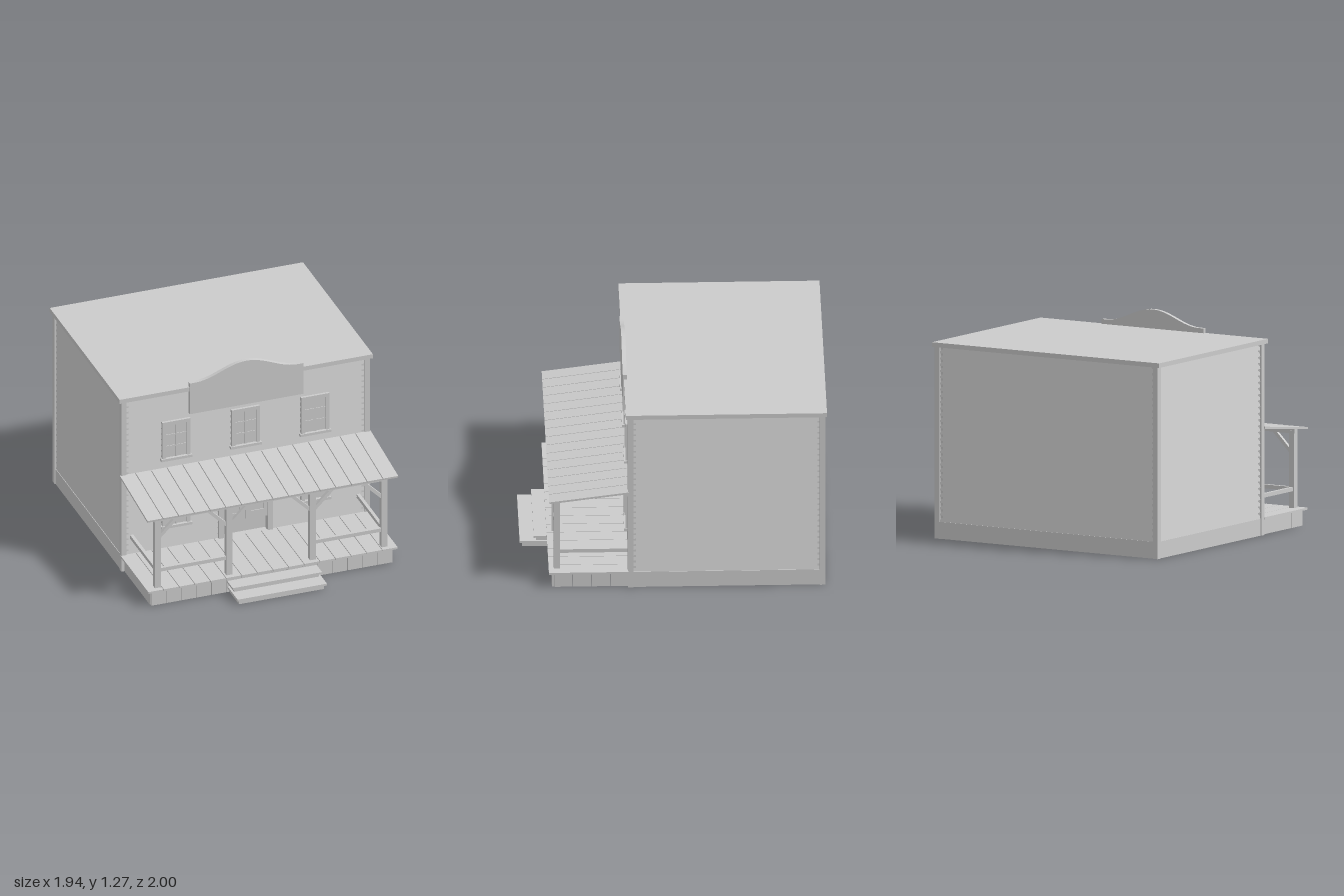
import * as THREE from 'three';

const mat = new THREE.MeshStandardMaterial({ color: 0xcccccc, flatShading: true, side: THREE.DoubleSide });

export function createModel() {
  const model = new THREE.Group();
  const house = new THREE.Group();
  house.name = 'house';
  house.rotation.y = 0.27; // the whole building stands turned on its plot
  model.add(house);

  const add = (name, geo, parent = house) => {
    const m = new THREE.Mesh(geo, mat);
    m.name = name;
    parent.add(m);
    return m;
  };
  // box given by its min / max on each axis
  const box = (name, x0, x1, y0, y1, z0, z1, parent = house) => {
    const m = add(name, new THREE.BoxGeometry(x1 - x0, y1 - y0, z1 - z0), parent);
    m.position.set((x0 + x1) / 2, (y0 + y1) / 2, (z0 + z1) / 2);
    return m;
  };
  const group = (name, x = 0, y = 0, z = 0) => {
    const g = new THREE.Group();
    g.name = name;
    g.position.set(x, y, z);
    house.add(g);
    return g;
  };

  // Lapped siding: saw-tooth section extruded along the wall, facing +z before turning
  const ROW = 0.0368, BASE = 0.1;
  const siding = (name, width, row0, row1, x, z, turn) => {
    const s = new THREE.Shape();
    s.moveTo(-0.03, BASE + row0 * ROW);
    for (let i = row0; i < row1; i++) {
      s.lineTo(0.01, BASE + i * ROW);
      s.lineTo(0.002, BASE + (i + 1) * ROW);
    }
    s.lineTo(-0.03, BASE + row1 * ROW);
    const g = new THREE.ExtrudeGeometry(s, { depth: width, bevelEnabled: false });
    g.translate(0, 0, -width / 2);
    const m = add(name, g);
    m.rotation.y = turn - Math.PI / 2;
    m.position.set(x, 0, z);
  };

  // Body, base and roof
  box('wallCore', -0.745, 0.745, 0.02, 1.13, -0.785, 0.297);
  box('foundation', -0.768, 0.768, 0, 0.1, -0.808, 0.338);
  box('roof', -0.788, 0.788, 1.13, 1.157, -0.82, 0.354);
  const ROWS = 28, DOOR = 11;
  for (const s of [-1, 1]) {
    siding('sideSiding', 1.13, 0, ROWS, s * 0.755, -0.235, s * Math.PI / 2);
    siding('frontSidingBesideDoor', 0.62, 0, DOOR, s * 0.45, 0.325, 0);
    for (const [z0, z1] of [[-0.812, -0.778], [0.308, 0.342]])
      box('cornerBoard', s * 0.757 - 0.016, s * 0.757 + 0.016, 0, 1.13, z0, z1);
  }
  siding('frontSidingAboveDoor', 1.52, DOOR, ROWS, 0, 0.325, 0);
  siding('backSiding', 1.52, 0, ROWS, 0, -0.795, Math.PI);

  // Blank false-front board with a bell-shaped top
  const board = new THREE.Shape();
  board.moveTo(-0.353, 0.98);
  board.lineTo(0.353, 0.98);
  for (let i = 0; i <= 32; i++) {
    const x = 0.353 - (0.706 * i) / 32;
    const t = Math.min(1, Math.abs(x) / 0.32);
    board.lineTo(x, 1.185 + 0.0425 * (1 + Math.cos(Math.PI * t)));
  }
  add('parapetBoard', new THREE.ExtrudeGeometry(board, { depth: 0.024, bevelEnabled: false })).position.z = 0.336;

  // Windows: pane, frame, sill and glazing bars
  const window = (x, y) => {
    const g = group('window', x, y, 0.335);
    box('pane', -0.075, 0.075, 0.01, 0.24, -0.01, 0.003, g);
    for (const s of [-1, 1]) box('windowJamb', s * 0.077 - 0.011, s * 0.077 + 0.011, 0, 0.25, -0.01, 0.014, g);
    box('windowHead', -0.088, 0.088, 0.23, 0.253, -0.01, 0.015, g);
    box('windowSill', -0.096, 0.096, -0.004, 0.012, -0.01, 0.022, g);
    box('centreBar', -0.005, 0.005, 0.01, 0.235, -0.005, 0.008, g);
    for (const y2 of [0.085, 0.16]) box('crossBar', -0.07, 0.07, y2 - 0.004, y2 + 0.004, -0.005, 0.007, g);
  };
  for (const x of [-0.432, 0, 0.432]) window(x, 0.695);
  for (const x of [-0.432, 0.432]) window(x, 0.245);

  // Doorway with a pair of swing doors
  const door = group('doorway', 0, 0, 0.335);
  for (const s of [-1, 1]) {
    box('doorJamb', s * 0.153 - 0.015, s * 0.153 + 0.015, 0.1, 0.5, -0.03, 0.014, door);
    const leaf = new THREE.Shape();
    leaf.moveTo(s * 0.136, 0.2);
    leaf.lineTo(s * 0.004, 0.2);
    leaf.lineTo(s * 0.004, 0.39);
    leaf.lineTo(s * 0.035, 0.39);
    leaf.quadraticCurveTo(s * 0.05, 0.35, s * 0.09, 0.36);
    leaf.quadraticCurveTo(s * 0.12, 0.37, s * 0.136, 0.385);
    const hole = new THREE.Path();
    hole.moveTo(s * 0.112, 0.25);
    hole.lineTo(s * 0.035, 0.25);
    hole.lineTo(s * 0.035, 0.335);
    hole.lineTo(s * 0.112, 0.345);
    leaf.holes.push(hole);
    add('swingDoor', new THREE.ExtrudeGeometry(leaf, { depth: 0.014, bevelEnabled: false }), door).position.z = -0.008;
    box('swingDoorPanel', s * 0.0735 - 0.04, s * 0.0735 + 0.04, 0.248, 0.347, -0.004, 0.001, door);
  }
  box('doorHead', -0.168, 0.168, 0.475, 0.5, -0.03, 0.014, door);

  // Porch planks: floor, skirt and sloping roof share one spacing
  const N = 16, W = 1.555 / N, GAP = 0.002;
  const slope = Math.atan(0.06 / 0.465);
  for (let i = 0; i < N; i++) {
    const x = -0.7775 + (i + 0.5) * W, h = W / 2 - GAP;
    box('floorBoard', x - h, x + h, 0.093, 0.105, 0.335, 0.803);
    const k = 0.968;
    box('skirtBoard', x * k - h * k, x * k + h * k, 0, 0.093, 0.772, 0.785);
    const r = add('porchRoofBoard', new THREE.BoxGeometry(W - 2 * GAP, 0.012, Math.hypot(0.465, 0.06)));
    r.position.set(x * 1.006, 0.604, 0.5685);
    r.rotation.x = slope;
  }
  for (const s of [-1, 1])
    for (let i = 0; i < 4; i++) {
      const z = 0.338 + i * 0.109;
      box('sideSkirtBoard', s * 0.748 - 0.006, s * 0.748 + 0.006, 0, 0.093, z, z + 0.106);
    }
  box('floorJoist', -0.74, 0.74, 0.07, 0.093, 0.55, 0.57);
  box('roofLedger', -0.76, 0.76, 0.6, 0.628, 0.325, 0.35);

  // Posts, beam, braces and rails
  const PZ = 0.755, P = 0.018;
  box('porchBeam', -0.725, 0.725, 0.545, 0.574, PZ - 0.015, PZ + 0.015);
  const brace = (x, dir) => {
    const b = add('brace', new THREE.BoxGeometry(0.02, 0.175, 0.02));
    b.position.set(x + dir * 0.068, 0.492, PZ);
    b.rotation.z = -dir * Math.PI / 4;
  };
  for (const s of [-1, 1]) {
    for (const x of [0.705, 0.26])
      box('porchPost', s * x - P, s * x + P, 0.105, 0.56, PZ - P, PZ + P);
    brace(s * 0.705, -s);
    brace(s * 0.26, s);
    brace(s * 0.26, -s);
    box('frontRail', s * 0.4825 - 0.2225, s * 0.4825 + 0.2225, 0.205, 0.228, PZ - 0.01, PZ + 0.01);
    box('sideRail', s * 0.705 - 0.01, s * 0.705 + 0.01, 0.205, 0.228, 0.33, PZ);
  }

  // Steps: thin treads over risers
  for (const [y, z0, z1] of [[0.028, 0.79, 0.96], [0.062, 0.78, 0.878]]) {
    box('stepTread', -0.278, 0.278, y, y + 0.012, z0, z1);
    box('stepRiser', -0.265, 0.265, 0, y, z0, z1 - 0.014);
  }
  return model;
}
